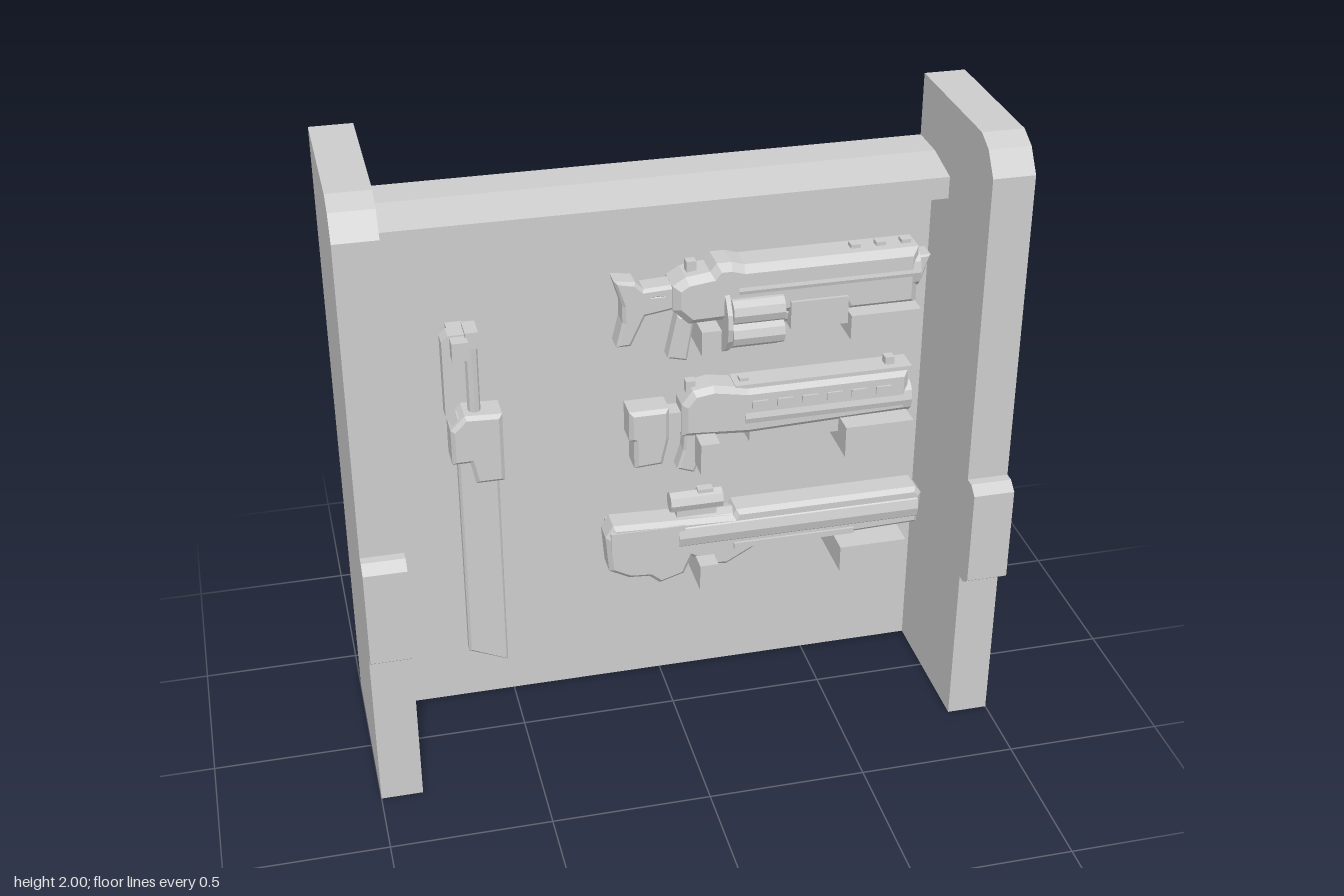
import * as THREE from 'three';

const mat = new THREE.MeshStandardMaterial({ color: 0xcccccc, flatShading: true });
const MID = -0.05; // depth of the centre plane of the rifles

function add(parent, name, geo, x = 0, y = 0, z = 0) {
  const m = new THREE.Mesh(geo, mat);
  m.name = name;
  m.position.set(x, y, z);
  parent.add(m);
  return m;
}
const toPoints = (pts) => pts.map(([x, y]) => new THREE.Vector2(x, y));

// Front outline extruded between two depths, edges bevelled inwards
function plate(parent, name, pts, z0, z1, bevel = 0, hole) {
  const shape = new THREE.Shape(toPoints(pts));
  if (hole) shape.holes.push(new THREE.Path(toPoints(hole)));
  const geo = new THREE.ExtrudeGeometry(shape, {
    depth: z1 - z0 - 2 * bevel, bevelEnabled: bevel > 0, bevelThickness: bevel,
    bevelSize: bevel, bevelOffset: -bevel, bevelSegments: 1,
  });
  return add(parent, name, geo, 0, 0, z0 + bevel);
}
// Side outline (z, y) extruded along x
function sidePlate(parent, name, pts, x0, x1) {
  const geo = new THREE.ExtrudeGeometry(new THREE.Shape(toPoints(pts.map(([z, y]) => [-z, y]))),
    { depth: x1 - x0, bevelEnabled: false });
  geo.rotateY(Math.PI / 2);
  return add(parent, name, geo, x0);
}
// Box given by its limits
function box(parent, name, x0, x1, y0, y1, z0, z1) {
  return add(parent, name, new THREE.BoxGeometry(x1 - x0, y1 - y0, z1 - z0),
    (x0 + x1) / 2, (y0 + y1) / 2, (z0 + z1) / 2);
}
// Cylinder lying along x
function rod(parent, name, x0, x1, y, z, r, sides = 12) {
  const geo = new THREE.CylinderGeometry(r, r, x1 - x0, sides);
  geo.rotateZ(Math.PI / 2);
  return add(parent, name, geo, (x0 + x1) / 2, y, z);
}
function group(parent, name) {
  const g = new THREE.Group();
  g.name = name;
  parent.add(g);
  return g;
}
// Pair of wall brackets carrying a rifle
function brackets(parent, y0, y1) {
  box(parent, 'rearBracket', 0.075, 0.135, y0, y1, -0.2, 0.06);
  box(parent, 'frontBracket', 0.54, 0.76, y0, y1, -0.2, 0.06);
}

function buildRack(root) {
  const rack = group(root, 'rack');
  box(rack, 'backPanel', -0.87, 0.87, 0, 1.7, -0.33, -0.2);
  sidePlate(rack, 'topRail', [[-0.33, 1.7], [-0.06, 1.7], [-0.06, 1.77], [-0.2, 1.8], [-0.33, 1.8]], -0.87, 0.87);
  for (const [name, x0] of [['right', -1], ['left', 0.87]]) {
    sidePlate(rack, name + 'SidePanel',
      [[-0.33, 0], [0.27, 0], [0.27, 1.9], [0.22, 1.97], [0.16, 2], [-0.33, 2]], x0, x0 + 0.13);
    sidePlate(rack, name + 'Bumper',
      [[0.26, 0.54], [0.3, 0.54], [0.333, 0.565], [0.333, 0.875], [0.3, 0.9], [0.26, 0.9]], x0, x0 + 0.13);
  }
}

function buildBlade(root) {
  const g = group(root, 'blade');
  plate(g, 'cuttingBlade', [[-0.655, 0.25], [-0.53, 0.195], [-0.53, 0.95], [-0.655, 0.98]], -0.135, -0.09, 0.008);
  plate(g, 'guard', [[-0.675, 0.97], [-0.675, 1.09], [-0.63, 1.135], [-0.515, 1.13], [-0.515, 0.895],
    [-0.605, 0.895], [-0.62, 0.97]], -0.17, -0.06, 0.012);
  plate(g, 'handGuard', [[-0.685, 1.13], [-0.66, 1.09], [-0.62, 1.09], [-0.62, 1.12], [-0.65, 1.12], [-0.655, 1.14],
    [-0.655, 1.38], [-0.6, 1.38], [-0.6, 1.405], [-0.665, 1.405], [-0.685, 1.385]], -0.14, -0.085);
  box(g, 'handGuardEnd', -0.66, -0.61, 1.34, 1.4, -0.185, -0.04);
  add(g, 'grip', new THREE.CylinderGeometry(0.02, 0.02, 0.25, 8), -0.595, 1.25, -0.11);
  box(g, 'pommel', -0.615, -0.575, 1.36, 1.415, -0.15, -0.07);
  box(g, 'wallMount', -0.62, -0.56, 0.93, 1.05, -0.2, -0.15);
}

function buildDrumRifle(root) {
  const g = group(root, 'drumRifle');
  plate(g, 'stock', [[-0.175, 1.56], [-0.11, 1.55], [-0.085, 1.525], [0.02, 1.53], [0.02, 1.45], [-0.08, 1.435],
    [-0.125, 1.34], [-0.17, 1.34], [-0.15, 1.42], [-0.15, 1.475]], MID - 0.04, MID + 0.04, 0.01,
  [[-0.075, 1.505], [-0.01, 1.505], [-0.01, 1.49], [-0.075, 1.49]]);
  plate(g, 'body', [[0, 1.45], [0, 1.53], [0.04, 1.555], [0.115, 1.565], [0.135, 1.59], [0.18, 1.59], [0.22, 1.578],
    [0.765, 1.578], [0.765, 1.39], [0.54, 1.39], [0.53, 1.41], [0.05, 1.4]], MID - 0.065, MID + 0.065, 0.022);
  plate(g, 'grip', [[0.02, 1.42], [-0.01, 1.28], [0.05, 1.265], [0.075, 1.42]], MID - 0.03, MID + 0.03, 0.008);
  // Revolving drum with six chambers
  rod(g, 'drumCore', 0.155, 0.34, 1.4, MID, 0.075);
  for (let i = 0; i < 6; i++) {
    const a = (i + 0.5) * Math.PI / 3;
    rod(g, 'chamber', 0.175, 0.335, 1.4 + 0.075 * Math.sin(a), MID + 0.075 * Math.cos(a), 0.042, 10);
  }
  rod(g, 'drumPlate', 0.155, 0.17, 1.4, MID, 0.115, 16);
  box(g, 'foreGrip', 0.36, 0.54, 1.36, 1.45, MID - 0.07, MID + 0.075);
  rod(g, 'lowerBarrel', 0.33, 0.56, 1.4, MID, 0.045);
  rod(g, 'barrel', 0.2, 0.77, 1.5, MID, 0.068, 12);
  plate(g, 'muzzle', [[0.755, 1.45], [0.785, 1.46], [0.81, 1.54], [0.755, 1.54]], MID - 0.035, MID + 0.035, 0.006);
  for (const x of [0.05, 0.56, 0.64, 0.72]) box(g, 'sight', x, x + 0.03, 1.55, 1.59, MID - 0.015, MID + 0.015);
  brackets(g, 1.32, 1.4);
}

function buildCarbine(root) {
  const g = group(root, 'carbine');
  plate(g, 'stock', [[-0.135, 1.115], [-0.01, 1.115], [-0.01, 1.01], [-0.03, 0.92], [-0.12, 0.915],
    [-0.12, 1.01], [-0.135, 1.015]], MID - 0.05, MID + 0.05, 0.012);
  box(g, 'stockNeck', -0.02, 0.05, 1.02, 1.09, MID - 0.03, MID + 0.03);
  plate(g, 'body', [[0.03, 1.01], [0.03, 1.12], [0.065, 1.165], [0.13, 1.175], [0.24, 1.155], [0.76, 1.155],
    [0.76, 1.01], [0.24, 0.995]], MID - 0.055, MID + 0.055, 0.018);
  rod(g, 'barrel', 0.23, 0.77, 1.055, MID, 0.06);
  rod(g, 'muzzle', 0.75, 0.78, 1.06, MID, 0.03, 8);
  box(g, 'upperRail', 0.2, 0.77, 1.12, 1.165, MID - 0.04, MID + 0.04);
  for (let i = 0; i < 6; i++) box(g, 'vent', 0.25 + i * 0.08, 0.3 + i * 0.08, 1.09, 1.115, MID - 0.06, MID + 0.062);
  plate(g, 'grip', [[0.045, 1.03], [0.04, 0.95], [0.02, 0.885], [0.075, 0.865], [0.105, 0.95], [0.12, 1.03]],
    MID - 0.03, MID + 0.03, 0.008);
  box(g, 'lowerRail', 0.25, 0.56, 0.955, 1, MID - 0.03, MID + 0.03);
  for (const [x, y] of [[0.05, 1.185], [0.22, 1.175], [0.69, 1.19]])
    box(g, 'sight', x, x + 0.03, 1.13, y, MID - 0.015, MID + 0.015);
  brackets(g, 0.905, 1.01);
}

function buildLongRifle(root) {
  const g = group(root, 'longRifle');
  // Stock, thumb hole and body in one outline
  plate(g, 'body', [[-0.215, 0.67], [-0.19, 0.71], [0.2, 0.695], [0.21, 0.715], [0.81, 0.715], [0.83, 0.69],
    [0.82, 0.58], [0.27, 0.565], [0.18, 0.515], [0.13, 0.52], [0.065, 0.56], [0.04, 0.5], [-0.04, 0.475],
    [-0.075, 0.505], [-0.14, 0.51], [-0.205, 0.545]], MID - 0.05, MID + 0.05, 0.014,
  [[-0.065, 0.54], [-0.01, 0.585], [0.04, 0.585], [0.02, 0.53], [-0.03, 0.515]]);
  rod(g, 'barrel', 0.02, 0.815, 0.645, MID, 0.062);
  box(g, 'cheekPad', -0.2, 0.04, 0.62, 0.69, MID - 0.055, MID + 0.055);
  box(g, 'lowerRail', 0.2, 0.6, 0.58, 0.6, MID - 0.058, MID + 0.058);
  rod(g, 'scope', 0, 0.17, 0.75, MID, 0.034, 8);
  box(g, 'scopeMount', 0.02, 0.15, 0.69, 0.73, MID - 0.02, MID + 0.02);
  box(g, 'scopeKnob', 0.09, 0.14, 0.765, 0.79, MID - 0.015, MID + 0.015);
  brackets(g, 0.475, 0.565);
}

export function createModel() {
  const root = new THREE.Group();
  root.name = 'weaponRack';
  for (const build of [buildRack, buildBlade, buildDrumRifle, buildCarbine, buildLongRifle]) build(root);
  return root;
}
